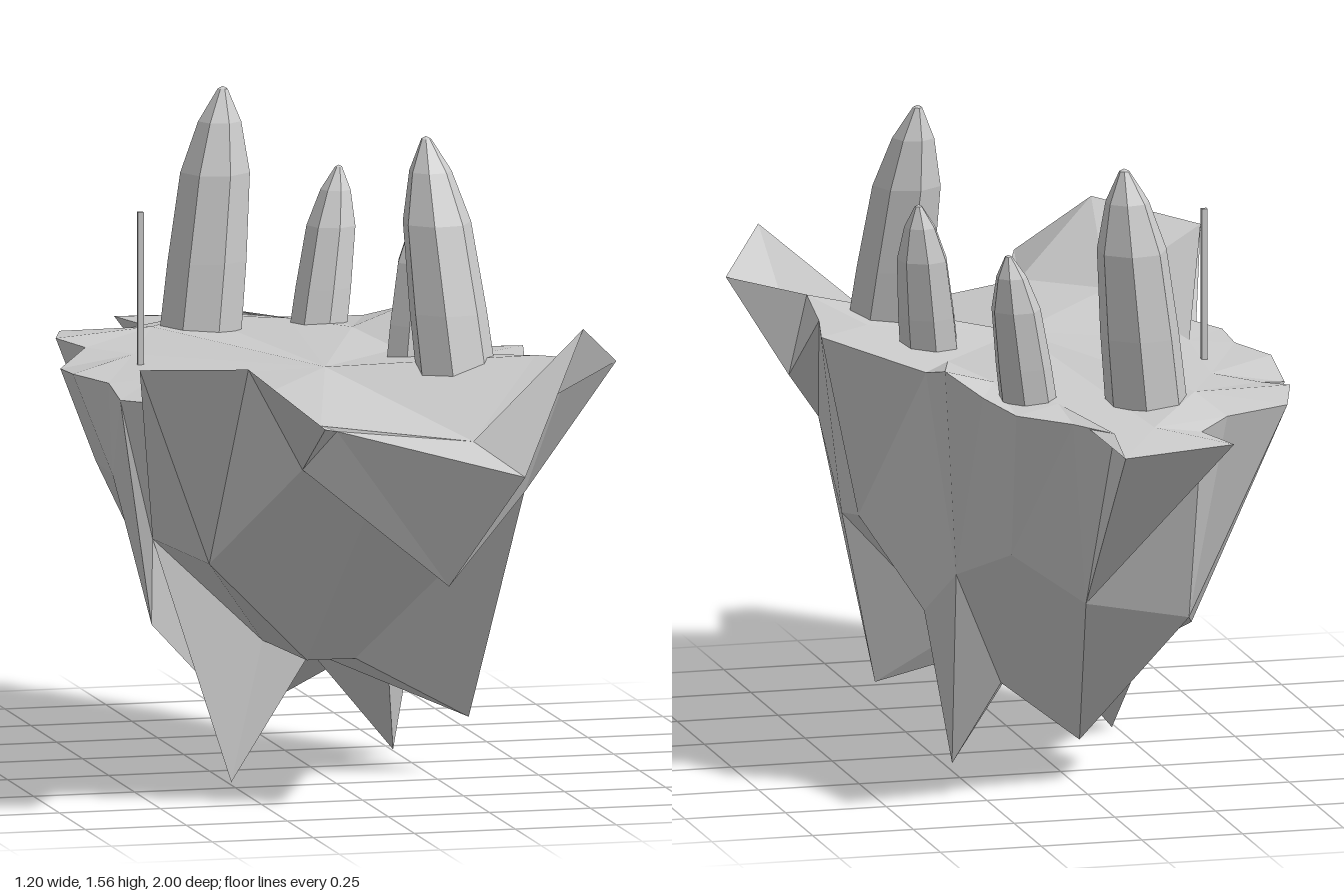
import * as THREE from 'three';

const grey = () => new THREE.MeshStandardMaterial({ color: 0xcccccc, flatShading: true });

// Loops run from the front, round the left (+x), the back and the right side
const innerTop = [
  [0.2, 0.91, 0.79], [0.45, 1.05, 0.42], [0.36, 1.02, 0.2], [0.24, 0.99, -0.1], [0.2, 1.0, -0.38],
  [0.1, 0.99, -0.6], [-0.08, 0.97, -0.82], [-0.25, 0.99, -0.56], [-0.36, 0.97, -0.3],
  [-0.4, 0.97, 0.05], [-0.34, 0.98, 0.59], [-0.18, 0.965, 0.8],
];
const rim = [
  [0.28, 0.85, 0.98], [0.49, 1.16, 0.72], [0.6, 1.06, 0.61], [0.5, 0.86, 0.4], [0.46, 1.02, 0.27],
  [0.5, 1.02, 0.1], [0.31, 0.98, -0.16], [0.33, 1.04, -0.41], [0.27, 1.0, -0.54], [0.22, 0.98, -0.66],
  [0.1, 0.97, -0.74], [0.03, 0.97, -0.86], [0.04, 0.94, -1.0], [-0.24, 0.95, -0.96], [-0.2, 0.95, -0.81],
  [-0.29, 0.96, -0.71], [-0.45, 0.97, -0.67], [-0.5, 0.98, -0.51], [-0.45, 0.97, -0.42],
  [-0.54, 0.94, -0.31], [-0.56, 0.96, -0.11], [-0.51, 0.96, 0.04], [-0.53, 0.95, 0.23],
  [-0.42, 0.96, 0.41], [-0.6, 1.1, 0.69], [-0.39, 1.13, 0.92], [-0.22, 0.99, 1.0], [-0.14, 0.95, 0.8],
];
const waist = [
  [0.14, 0.56, 0.79], [0.4, 0.73, 0.5], [0.42, 0.56, 0.21], [0.4, 0.57, 0.13], [0.32, 0.4, -0.18],
  [0.27, 0.51, -0.29], [0.2, 0.61, -0.54], [0.05, 0.51, -0.67], [-0.23, 0.44, -0.58],
  [-0.29, 0.38, -0.38], [-0.43, 0.72, -0.38], [-0.48, 0.73, -0.2], [-0.49, 0.73, 0.0],
  [-0.45, 0.4, 0.22], [-0.45, 0.61, 0.23], [-0.41, 0.61, 0.62], [-0.21, 0.85, 0.74],
];
const frontHollow = [0.02, 0.71, 0.5];
const spikes = [
  [0.08, 0.28, 0.12], [0.34, 0.14, 0.2], [0.17, 0.28, 0.077], [0.24, 0.01, -0.14], [0.14, 0.22, -0.22],
  [-0.02, 0.1, -0.35], [-0.15, 0.25, -0.2], [-0.27, 0.23, -0.02], [-0.24, 0.0, 0.17],
  [-0.16, 0.34, 0.16], [-0.04, 0.28, 0.12],
];

// Angle of point i around the island, unwrapped past the end of the loop
function angle(ring, i) {
  const [x, , z] = ring[i % ring.length];
  const a = Math.atan2(x, z);
  return (a < 0 ? a + 2 * Math.PI : a) + (i >= ring.length ? 2 * Math.PI : 0);
}

// Joins two loops of different counts with a band of triangles
function stitch(out, upper, lower) {
  const n = upper.length, m = lower.length;
  let i = 0, j = 0;
  while (i < n || j < m) {
    const u = upper[i % n], l = lower[j % m];
    if (j >= m || (i < n && angle(upper, i + 1) < angle(lower, j + 1))) {
      out.push(u, l, upper[++i % n]);
    } else {
      out.push(u, l, lower[++j % m]);
    }
  }
}

// Closes a loop with a fan
function cap(out, ring, centre, up) {
  ring.forEach((p, i) => {
    const q = ring[(i + 1) % ring.length];
    out.push(centre, ...(up ? [p, q] : [q, p]));
  });
}

function rockMesh(name, corners) {
  const g = new THREE.BufferGeometry();
  g.setAttribute('position', new THREE.Float32BufferAttribute(corners.flat(), 3));
  g.computeVertexNormals();
  const mesh = new THREE.Mesh(g, grey());
  mesh.material.side = THREE.DoubleSide;
  mesh.name = name;
  return mesh;
}

// Leaning seven-sided crystal from base [x, z] to tip [x, y, z]
function crystal(base, tip, radius, turn) {
  const y0 = 0.92, h = tip[1] - y0;
  const profile = [[0, 0], [1, 0], [0.95, 0.35], [0.84, 0.68], [0.52, 0.87], [0.12, 0.99], [0, 1]]
    .map(([r, t]) => new THREE.Vector2(r * radius, t * h));
  const g = new THREE.LatheGeometry(profile, 7, turn);
  const p = g.attributes.position;
  for (let i = 0; i < p.count; i++) {
    const t = p.getY(i) / h;
    p.setX(i, p.getX(i) + base[0] + (tip[0] - base[0]) * t);
    p.setZ(i, p.getZ(i) + base[1] + (tip[2] - base[1]) * t);
    p.setY(i, p.getY(i) + y0);
  }
  const flat = g.toNonIndexed();
  flat.computeVertexNormals();
  const mesh = new THREE.Mesh(flat, grey());
  mesh.name = 'crystal';
  return mesh;
}

export function createModel() {
  const model = new THREE.Group();
  model.name = 'floatingIsland';

  // Uneven plateau
  const top = [];
  cap(top, innerTop, [0, 0.995, 0.14], true);
  stitch(top, innerTop, rim);
  model.add(rockMesh('plateau', top));

  // Cliffs, the hollow beneath the front overhang, and the hanging spikes
  const under = [];
  stitch(under, rim, waist);
  const overhang = [...waist.slice(-2), ...waist.slice(0, 2)];
  for (let i = 0; i < 3; i++) under.push(overhang[i], frontHollow, overhang[i + 1]);
  stitch(under, [frontHollow, ...waist.slice(1, -1)], spikes);
  cap(under, spikes, [0, 0.28, 0], false);
  model.add(rockMesh('underside', under));

  // Crystals
  const crystals = new THREE.Group();
  crystals.name = 'crystals';
  crystals.add(
    crystal([-0.13, -0.575], [-0.062, 1.56, -0.605], 0.102, 0.2),
    crystal([0.285, 0.325], [0.235, 1.555, 0.195], 0.1, 0.6),
    crystal([0.145, -0.515], [0.22, 1.36, -0.585], 0.072, 0.1),
    crystal([0.235, 0.06], [0.29, 1.36, -0.015], 0.074, 0.4),
  );
  model.add(crystals);

  // Thin post
  const post = new THREE.Mesh(new THREE.BoxGeometry(0.014, 0.38, 0.013), grey());
  post.position.set(-0.383, 1.15, -0.15);
  post.name = 'post';
  model.add(post);

  return model;
}
